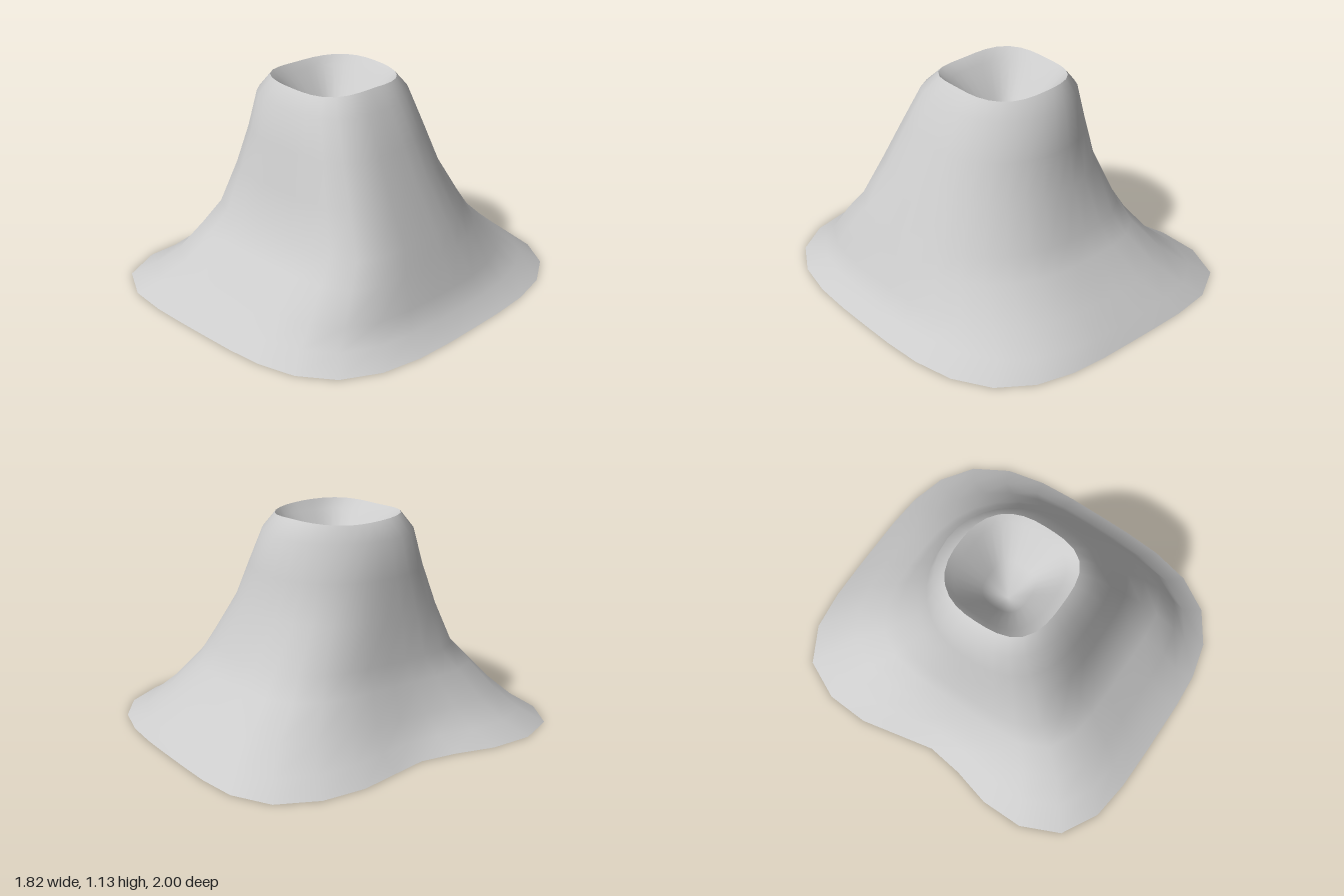
import * as THREE from 'three';

const SIDES = 32;

// Rounded-square ring fitted to its left, right, back and front extents.
// n gives the squareness of each corner: +x+z, -x+z, -x-z, +x-z.
function ringPoints({ y, l, r, b, f, n, waist = 0, wobble = 0 }) {
  const cx = (l + r) / 2, cz = (b + f) / 2;
  const points = [];
  for (let i = 0; i < SIDES; i++) {
    const a = (i / SIDES) * Math.PI * 2;
    const c = Math.cos(a), s = Math.sin(a);
    const e = n[Math.floor((i * 4) / SIDES)];
    const k = Math.pow(Math.abs(c) ** e + Math.abs(s) ** e, -1 / e);
    let x = cx + c * k * (r - l) / 2;
    const z = cz + s * k * (f - b) / 2;
    // The left flank is pinched inwards around its middle
    if (c < 0) x += waist * Math.exp(-(((z - 0.03) / 0.32) ** 2));
    points.push([x, y + wobble * Math.sin(a * 3 + 1), z]);
  }
  return points;
}

// Skin a stack of rings, optionally ending in a point
function skin(rings, tip) {
  const positions = rings.flatMap(ringPoints).flat();
  const index = [];
  for (let j = 0; j < rings.length - 1; j++) {
    for (let i = 0; i < SIDES; i++) {
      const i2 = (i + 1) % SIDES;
      const a = j * SIDES + i, b = j * SIDES + i2;
      index.push(a, a + SIDES, b, b, a + SIDES, b + SIDES);
    }
  }
  if (tip) {
    const t = positions.length / 3, start = (rings.length - 1) * SIDES;
    positions.push(...tip);
    for (let i = 0; i < SIDES; i++) index.push(start + i, t, start + (i + 1) % SIDES);
  }
  const geometry = new THREE.BufferGeometry();
  geometry.setAttribute('position', new THREE.Float32BufferAttribute(positions, 3));
  geometry.setIndex(index);
  geometry.computeVertexNormals();
  return geometry;
}

export function createModel() {
  const group = new THREE.Group();
  group.name = 'volcano';
  const material = new THREE.MeshStandardMaterial({ color: 0xcccccc, side: THREE.DoubleSide });
  const add = (name, geometry) => {
    const mesh = new THREE.Mesh(geometry, material);
    mesh.name = name;
    group.add(mesh);
  };

  const rim = { y: 1.125, l: -0.36, r: 0.24, b: -0.285, f: 0.315, n: [3.4, 3, 2.6, 2.5], wobble: 0.006 };

  // Flared slopes, open underneath
  add('slopes', skin([
    { y: 0, l: -0.93, r: 0.91, b: -1, f: 1, n: [3.4, 4.6, 4.6, 3.3], waist: 0.11 },
    { y: 0.07, l: -0.82, r: 0.81, b: -0.93, f: 0.9, n: [3.3, 4.4, 4.2, 2.9], waist: 0.09 },
    { y: 0.17, l: -0.7, r: 0.755, b: -0.82, f: 0.8, n: [3.8, 4.4, 3.8, 2.4], waist: 0.04 },
    { y: 0.32, l: -0.6, r: 0.68, b: -0.66, f: 0.665, n: [4.6, 4.6, 3.5, 2.2], waist: 0.01 },
    { y: 0.43, l: -0.55, r: 0.627, b: -0.59, f: 0.565, n: [4.8, 4.4, 3.1, 2.1] },
    { y: 0.65, l: -0.51, r: 0.518, b: -0.48, f: 0.5, n: [4.2, 3.2, 2.3, 2] },
    { y: 0.85, l: -0.475, r: 0.42, b: -0.425, f: 0.445, n: [3.8, 2.7, 2.1, 2] },
    { y: 1.04, l: -0.44, r: 0.325, b: -0.37, f: 0.39, n: [3.4, 2.6, 2, 2] },
    rim,
  ]));

  // Funnel of the crater, sinking to a point
  add('crater', skin([
    rim,
    { y: 1.08, l: -0.32, r: 0.205, b: -0.235, f: 0.255, n: [3, 3, 3, 3] },
    { y: 0.92, l: -0.19, r: 0.07, b: -0.115, f: 0.125, n: [2.8, 2.8, 2.8, 2.8] },
  ], [-0.06, 0.75, 0]));

  return group;
}
